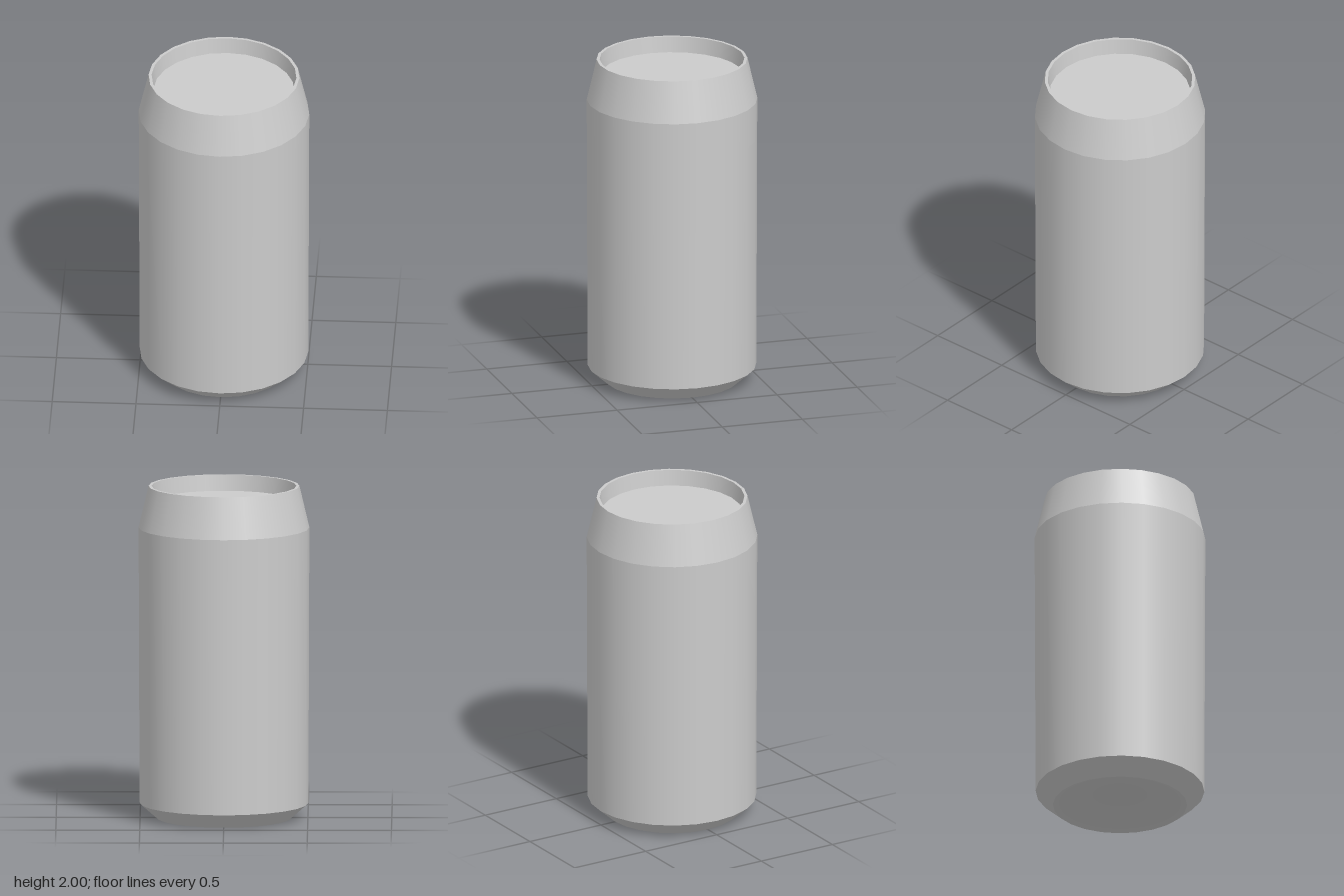
import * as THREE from 'three';

const SIDES = 24;

export function createModel() {
  const can = new THREE.Group();
  can.name = 'can';
  const material = new THREE.MeshStandardMaterial({ color: 0xcccccc });

  // Each part is one smooth band turned around y; separate bands keep their shared edges sharp.
  const addBand = (name, profile) => {
    const points = profile.map(([r, y]) => new THREE.Vector2(r, y));
    const mesh = new THREE.Mesh(new THREE.LatheGeometry(points, SIDES), material);
    mesh.name = name;
    can.add(mesh);
  };

  // Shallow concave dome under the can
  const dome = [];
  for (let i = 0; i <= 6; i++) {
    const t = i / 6;
    dome.push([0.4 * t, 0.08 * (1 - t * t)]);
  }
  addBand('bottomDome', dome);

  addBand('bottomBevel', [[0.4, 0], [0.503, 0.09]]);
  addBand('body', [[0.503, 0.09], [0.509, 1.75]]);
  addBand('shoulder', [[0.509, 1.75], [0.45, 2]]);

  // Rim and recessed lid
  addBand('rim', [[0.45, 2], [0.432, 2]]);
  addBand('rimInnerWall', [[0.432, 2], [0.42, 1.905]]);
  addBand('lid', [[0.42, 1.905], [0, 1.905]]);

  return can;
}
